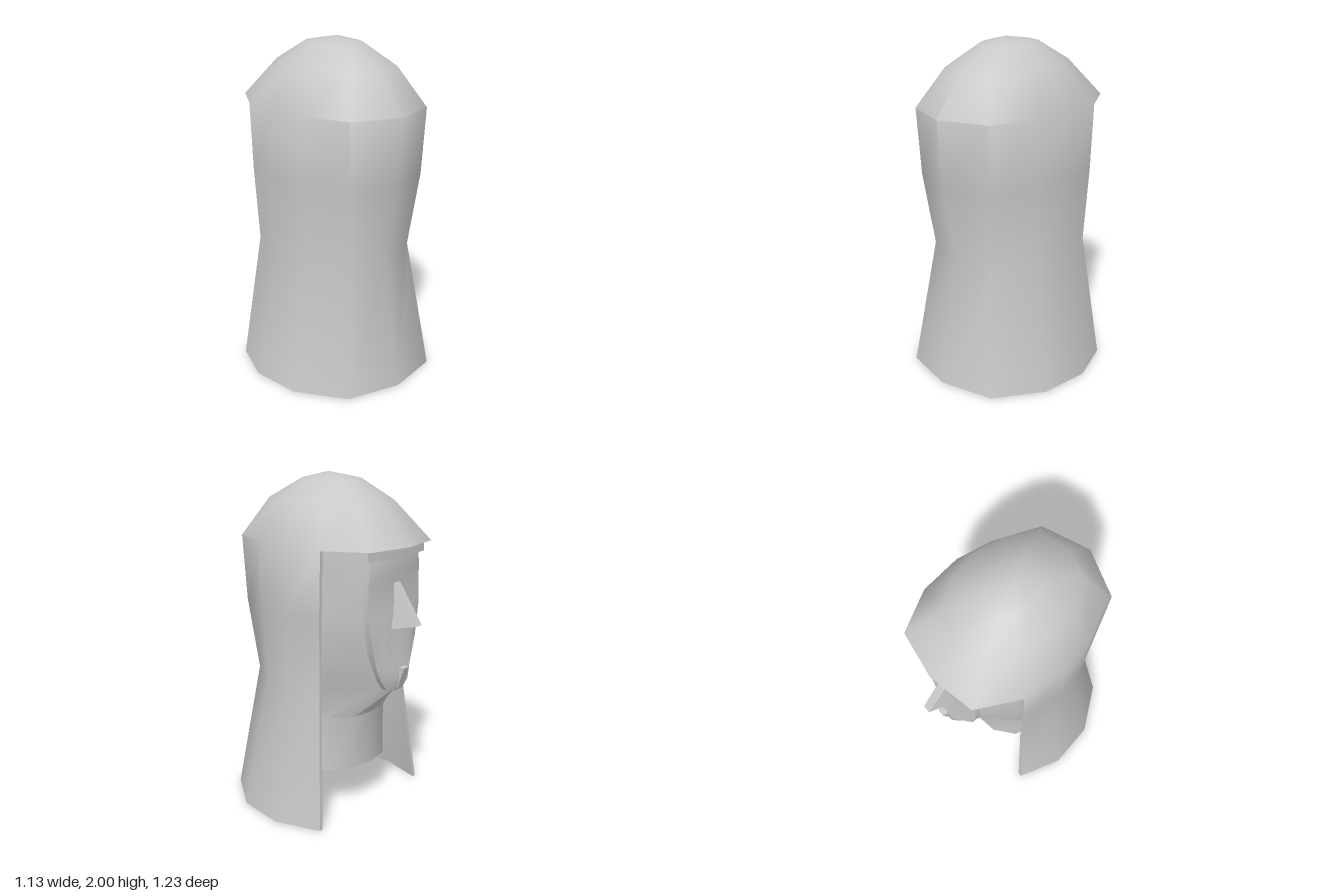
import * as THREE from 'three';
import { toCreasedNormals, mergeGeometries } from 'three/addons/utils/BufferGeometryUtils.js';

// Skin a surface through rows of points; rows run upward, points counter-clockwise seen from below
function loft(rows, closed) {
  const n = rows[0].length, pos = [];
  const tri = (a, b, c) => {
    const ab = new THREE.Vector3(b[0] - a[0], b[1] - a[1], b[2] - a[2]);
    const ac = new THREE.Vector3(c[0] - a[0], c[1] - a[1], c[2] - a[2]);
    if (ab.cross(ac).length() > 1e-8) pos.push(...a, ...b, ...c);
  };
  for (let i = 0; i < rows.length - 1; i++) {
    for (let j = 0; j < (closed ? n : n - 1); j++) {
      const k = (j + 1) % n;
      tri(rows[i][j], rows[i][k], rows[i + 1][k]);
      tri(rows[i][j], rows[i + 1][k], rows[i + 1][j]);
    }
  }
  const g = new THREE.BufferGeometry();
  g.setAttribute('position', new THREE.Float32BufferAttribute(pos, 3));
  return g;
}

// Mirror half an outline of [x, z] (back to front) into a full ring or an open arc
const flip = ([x, y, z]) => [-x, y, z];
const lift = (half, y) => half.map(([x, z]) => [x, y, z]);
const ring = (half, y) => {
  const h = lift(half, y);
  return [...h, ...h.slice(1, -1).reverse().map(flip)];
};
const backArc = (half, y) => {
  const h = lift(half, y);
  return [...h.slice(1).reverse().map(flip), ...h];
};
const frontArc = (half, y) => {
  const h = lift(half, y);
  return [...h, ...h.slice(0, -1).reverse().map(flip)];
};

export function createModel() {
  const group = new THREE.Group();
  const grey = new THREE.MeshStandardMaterial({ color: 0xc8c8c8, side: THREE.DoubleSide });
  grey.name = 'plain grey';
  const add = (name, geos, crease = 0.9) => {
    const mesh = new THREE.Mesh(toCreasedNormals(mergeGeometries(geos), crease), grey);
    mesh.name = name;
    group.add(mesh);
  };

  // Hood: flared skirt open at the face, under a full dome with a peaked brim
  const brow = [[0, 0.595], [0.285, 0.49], [0.395, 0.22], [0.437, 0], [0.41, -0.25], [0.28, -0.49], [0, -0.54]];
  const skirt = [
    [0, [[0, 0.617], [0.325, 0.54], [0.52, 0.275], [0.565, -0.02], [0.475, -0.295]]],
    [0.79, [[0, 0.485], [0.235, 0.42], [0.37, 0.21], [0.417, 0], [0.385, -0.218]]],
    [1.23, [[0, 0.57], [0.27, 0.475], [0.395, 0.22], [0.44, 0], [0.405, -0.236]]],
    [1.62, brow.slice(0, 5)],
  ];
  const inset = (half) => half.map(([x, z], i) => [x * 0.95, i === 4 ? z : z * 0.95]);
  const walls = skirt.map(([y, h]) => [...backArc(h, y), ...backArc(inset(h), y).reverse()]);
  const hem = loft([backArc(inset(skirt[0][1]), 0), backArc(skirt[0][1], 0)], false);
  const dome = loft([
    ring(brow, 1.62),
    ring([[0, 0.415], [0.17, 0.365], [0.27, 0.2], [0.305, 0.03], [0.275, -0.14], [0.17, -0.305], [0, -0.345]], 1.845),
    ring([[0, 0.2], [0.09, 0.17], [0.125, 0.1], [0.14, 0.01], [0.125, -0.07], [0.085, -0.13], [0, -0.15]], 1.965),
    ring(Array(7).fill([0, 0.05]), 2),
  ], true);
  add('hood', [loft(walls, true), hem, dome]);

  // Brim lining: inset band below the brim and the surface behind it
  const brim = brow.slice(4);
  const band = [[0.395, -0.24], [0.26, -0.455], [0, -0.495]];
  const inner = [[0.35, -0.2], [0.2, -0.36], [0, -0.39]];
  add('brimLining', [loft([
    frontArc(inner, 1.56), frontArc(band, 1.56), frontArc(band, 1.62), frontArc(brim, 1.62),
  ], false)], 0.5);

  // Head and open-ended neck
  add('headAndNeck', [loft([
    ring([[0, 0.3], [0.15, 0.26], [0.25, 0.13], [0.28, 0], [0.235, -0.16], [0.13, -0.255], [0, -0.275]], 0.3),
    ring([[0, 0.35], [0.17, 0.3], [0.29, 0.17], [0.32, 0.02], [0.27, -0.17], [0.15, -0.265], [0, -0.285]], 0.27),
    ring([[0, 0.35], [0.17, 0.3], [0.28, 0.17], [0.31, 0.02], [0.26, -0.17], [0.14, -0.27], [0, -0.29]], 0.6),
    ring([[0, 0.36], [0.18, 0.31], [0.29, 0.18], [0.33, 0], [0.29, -0.2], [0.09, -0.41], [0, -0.475]], 0.8),
    ring([[0, 0.42], [0.2, 0.36], [0.32, 0.2], [0.36, 0], [0.34, -0.22], [0.15, -0.41], [0, -0.46]], 0.93),
    ring([[0, 0.47], [0.23, 0.4], [0.35, 0.2], [0.39, 0], [0.365, -0.23], [0.23, -0.42], [0, -0.44]], 1.25),
    ring([[0, 0.5], [0.24, 0.42], [0.35, 0.2], [0.39, 0], [0.37, -0.23], [0.225, -0.42], [0, -0.44]], 1.58),
    ring(Array(7).fill([0, 0]), 1.6),
  ], true)], 0.7);

  // Raised face plate: [height, half width, edge z, front z] from chin to brow
  const plateRows = [
    [0.79, 0.07, -0.44, -0.485], [0.85, 0.11, -0.43, -0.505], [0.93, 0.15, -0.425, -0.5],
    [1.06, 0.2, -0.435, -0.475], [1.25, 0.235, -0.43, -0.47], [1.42, 0.235, -0.425, -0.455],
    [1.49, 0.23, -0.43, -0.47], [1.58, 0.22, -0.425, -0.465],
  ].map(([y, w, ze, zf]) => [
    [w, y, ze + 0.03], [w, y, ze - 0.015], [w * 0.55, y, zf], [0, y, zf - 0.003],
    [-w * 0.55, y, zf], [-w, y, ze - 0.015], [-w, y, ze + 0.03],
  ]);
  const chinCap = plateRows[0].map(([x, y]) => [x, y, -0.41]);
  add('facePlate', [loft([chinCap, ...plateRows], false)], 0.6);

  // Wedge nose: blunt tip, sloping bridge, closed underside
  add('nose', [loft([
    [[0.03, 1.17, -0.45], [0.01, 1.17, -0.45], [-0.01, 1.17, -0.45], [-0.03, 1.17, -0.45]],
    [[0.068, 1.155, -0.46], [0.024, 1.19, -0.617], [-0.024, 1.19, -0.617], [-0.068, 1.155, -0.46]],
    [[0.03, 1.43, -0.45], [0.018, 1.42, -0.465], [-0.018, 1.42, -0.465], [-0.03, 1.43, -0.45]],
  ], false)], 0.2);

  // Small wedge on the chin
  const wedge = new THREE.Shape([[0.47, 0.93], [0.54, 0.93], [0.5, 0.81], [0.46, 0.81]].map((p) => new THREE.Vector2(...p)));
  const chin = new THREE.ExtrudeGeometry(wedge, { depth: 0.05, bevelEnabled: false });
  chin.translate(0, 0, -0.025).rotateY(Math.PI / 2);
  chin.deleteAttribute('uv');
  chin.deleteAttribute('normal');
  add('chinWedge', [chin], 0.2);

  return group;
}
